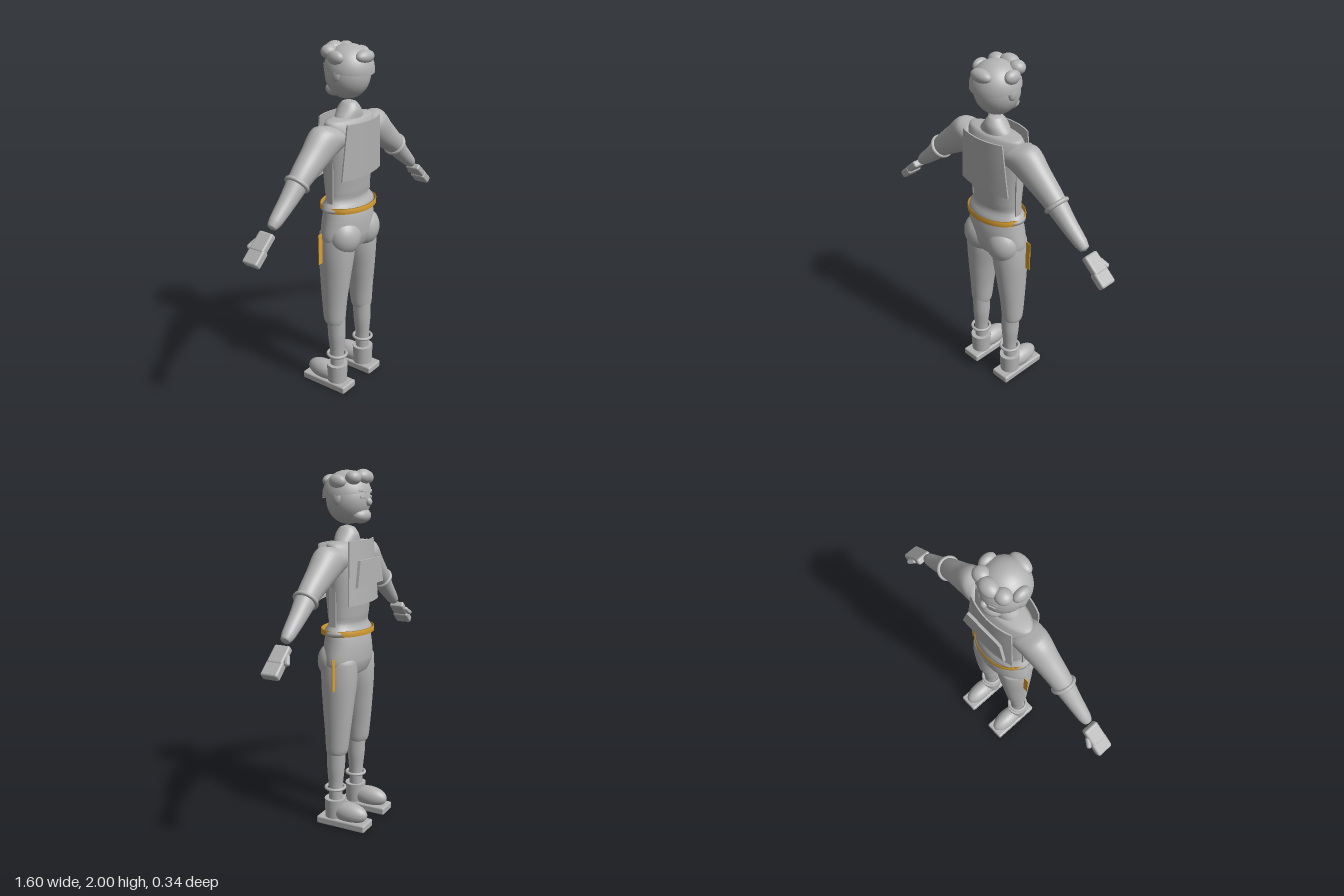
import * as THREE from 'three';
import { RoundedBoxGeometry } from 'three/addons/geometries/RoundedBoxGeometry.js';

// Closed, smooth tube of elliptical rings: each row is [x, y, z, radius along u, radius along z]
function loft(rows, u = [1, 0, 0], steps = 40, sides = 32) {
  const centre = new THREE.CatmullRomCurve3(rows.map(r => new THREE.Vector3(r[0], r[1], r[2])));
  const size = new THREE.CatmullRomCurve3(rows.map(r => new THREE.Vector3(r[3], r[4], 0)));
  const U = new THREE.Vector3(...u).normalize(), V = new THREE.Vector3(0, 0, 1);
  const pos = [], idx = [];
  for (let i = 0; i <= steps; i++) {
    const p = centre.getPoint(i / steps), r = size.getPoint(i / steps);
    for (let j = 0; j < sides; j++) {
      const a = j / sides * Math.PI * 2;
      const q = p.clone().addScaledVector(U, Math.cos(a) * Math.max(r.x, 0.001))
        .addScaledVector(V, Math.sin(a) * Math.max(r.y, 0.001));
      pos.push(q.x, q.y, q.z);
    }
  }
  const t = centre.getPoint(1).sub(centre.getPoint(0));
  const outward = V.clone().cross(t).dot(U) > 0;
  for (let i = 0; i < steps; i++) for (let j = 0; j < sides; j++) {
    const a = i * sides + j, b = i * sides + (j + 1) % sides, c = a + sides, d = b + sides;
    if (outward) idx.push(a, b, c, b, d, c); else idx.push(a, c, b, b, c, d);
  }
  const g = new THREE.BufferGeometry();
  g.setAttribute('position', new THREE.Float32BufferAttribute(pos, 3));
  g.setIndex(idx);
  g.computeVertexNormals();
  return g;
}

// Trapezoid plate, bent away at its sides and leaning between two depths
function plate(topHalf, botHalf, y0, y1, zBot, zTop, thick, bend) {
  const g = new THREE.BoxGeometry(1, 1, 1, 16, 4, 1), p = g.attributes.position;
  for (let i = 0; i < p.count; i++) {
    const v = p.getY(i) + 0.5, x = p.getX(i) * 2;
    const z = THREE.MathUtils.lerp(zBot, zTop, v);
    p.setXYZ(i, x * THREE.MathUtils.lerp(botHalf, topHalf, v), THREE.MathUtils.lerp(y0, y1, v),
      z - Math.sign(z) * bend * x * x + p.getZ(i) * thick);
  }
  g.computeVertexNormals();
  return g;
}

export function createModel() {
  const model = new THREE.Group();
  const grey = new THREE.MeshStandardMaterial({ color: 0xb3b3b3 });
  grey.name = 'grey';
  grey.side = THREE.DoubleSide;
  const gold = new THREE.MeshStandardMaterial({ color: 0xd9a030 });
  gold.name = 'gold';
  gold.side = THREE.DoubleSide;

  const add = (name, geo, x = 0, y = 0, z = 0, mat = grey) => {
    const m = new THREE.Mesh(geo, mat);
    m.name = name;
    m.position.set(x, y, z);
    model.add(m);
    return m;
  };
  const blob = (name, x, y, z, rx, ry, rz) =>
    add(name, new THREE.SphereGeometry(1, 28, 20), x, y, z).scale.set(rx, ry, rz);
  const box = (w, h, d, r = 0.01) => new RoundedBoxGeometry(w, h, d, 3, r);

  // Head and face, looking towards -z
  blob('head', 0, 1.84, 0.022, 0.122, 0.13, 0.12);
  blob('muzzle', 0, 1.757, -0.052, 0.07, 0.042, 0.052);
  blob('nose', 0, 1.83, -0.1, 0.02, 0.022, 0.018);
  const cap = add('hairCap', new THREE.SphereGeometry(1, 36, 14, 0, Math.PI * 2, 0, Math.PI / 2), 0, 1.862, 0.03);
  cap.scale.set(0.135, 0.133, 0.133);
  cap.rotation.x = 0.12;
  blob('backCurl', 0, 1.937, 0.128, 0.066, 0.035, 0.038);
  blob('frontCurl', 0, 1.96, -0.065, 0.058, 0.04, 0.045);

  // Neck and torso
  add('neck', loft([[0, 1.56, 0.03, 0.11, 0.065], [0, 1.62, 0.03, 0.095, 0.065], [0, 1.66, 0.03, 0.065, 0.062],
    [0, 1.695, 0.03, 0.035, 0.04], [0, 1.707, 0.03, 0.001, 0.001]]));
  add('torso', loft([[0, 1.1, 0.025, 0.001, 0.001], [0, 1.11, 0.025, 0.16, 0.095], [0, 1.2, 0.022, 0.16, 0.095],
    [0, 1.33, 0.022, 0.168, 0.108], [0, 1.47, 0.025, 0.182, 0.114], [0, 1.56, 0.028, 0.19, 0.1],
    [0, 1.615, 0.03, 0.18, 0.072], [0, 1.632, 0.03, 0.001, 0.001]]));

  // Vest plates and chest panel
  add('backVestPlate', plate(0.145, 0.175, 1.31, 1.61, 0.142, 0.155, 0.008, 0.03));
  add('frontVestPlate', plate(0.145, 0.175, 1.29, 1.63, -0.1, -0.085, 0.008, 0.03));
  add('chestPanel', plate(0.12, 0.155, 1.39, 1.53, -0.108, -0.105, 0.016, 0));

  // Hips and belt
  add('hips', loft([[0, 1.145, 0.025, 0.001, 0.001], [0, 1.135, 0.025, 0.163, 0.1], [0, 1.06, 0.025, 0.182, 0.118],
    [0, 0.97, 0.025, 0.198, 0.118], [0, 0.9, 0.025, 0.17, 0.095], [0, 0.86, 0.025, 0.001, 0.001]]));
  const belt = new THREE.LatheGeometry([[0.96, -0.016], [1, -0.014], [1, 0.014], [0.96, 0.016], [0.96, -0.016]]
    .map(([r, y]) => new THREE.Vector2(r, y)), 48);
  add('belt', belt, 0, 1.133, 0.027, gold).scale.set(0.184, 1, 0.137);

  for (const s of [1, -1]) {
    const side = s > 0 ? 'left' : 'right';

    // Face and hair details
    blob(side + 'Ear', s * 0.12, 1.853, 0.032, 0.016, 0.038, 0.026);
    blob(side + 'SideCurl', s * 0.113, 1.935, 0.027, 0.03, 0.036, 0.048);
    blob(side + 'FrontCurl', s * 0.073, 1.955, -0.045, 0.045, 0.037, 0.042);
    const eye = add(side + 'Eye', box(0.035, 0.014, 0.008, 0.003), s * 0.045, 1.855, -0.089);
    const brow = add(side + 'Brow', box(0.05, 0.01, 0.014, 0.003), s * 0.047, 1.886, -0.085);
    eye.rotation.y = brow.rotation.y = -s * 0.35;
    brow.rotation.z = s * 0.15;

    // Arm with elbow ring
    const across = [s * 0.62, 0.78, 0];
    add(side + 'Arm', loft([[s * 0.09, 1.55, 0.03, 0.001, 0.001], [s * 0.13, 1.535, 0.03, 0.085, 0.085],
      [s * 0.2, 1.53, 0.03, 0.098, 0.085], [s * 0.31, 1.455, 0.032, 0.08, 0.07],
      [s * 0.42, 1.375, 0.034, 0.062, 0.058], [s * 0.52, 1.285, 0.034, 0.047, 0.045],
      [s * 0.61, 1.212, 0.034, 0.035, 0.035], [s * 0.638, 1.19, 0.034, 0.024, 0.024],
      [s * 0.645, 1.185, 0.034, 0.001, 0.001]], across));
    const elbow = add(side + 'ElbowRing', new THREE.TorusGeometry(0.058, 0.012, 12, 36), s * 0.44, 1.358, 0.034);
    elbow.rotation.set(0, Math.PI / 2, 0);
    elbow.rotation.order = 'ZYX';
    elbow.rotation.z = -s * 0.7;

    // Hand
    const hand = new THREE.Group();
    hand.name = side + 'Hand';
    hand.position.set(s * 0.7, 1.13, 0.028);
    hand.rotation.z = -s * 0.72;
    for (const [name, w, h, d, x, y, z] of [['palm', 0.11, 0.04, 0.09, 0, 0, 0],
      ['fingers', 0.09, 0.046, 0.096, 0.082, -0.006, 0], ['thumb', 0.065, 0.026, 0.028, 0.02, 0, -0.052]]) {
      const part = new THREE.Mesh(box(w, h, d, 0.012), grey);
      part.name = name;
      part.position.set(s * x, y, z);
      if (name === 'thumb') part.rotation.y = s * 0.4;
      hand.add(part);
    }
    model.add(hand);

    // Side strap and hip plate
    add(side + 'SideStrap', new THREE.BoxGeometry(0.008, 0.26, 0.04), s * 0.168, 1.3, 0.03);
    add(side + 'HipPlate', new THREE.BoxGeometry(0.03, 0.175, 0.005), s * 0.22, 0.913, 0, gold);

    // Seat and legs
    blob(side + 'Seat', s * 0.09, 0.965, 0.065, 0.1, 0.108, 0.09);
    add(side + 'Thigh', loft([[s * 0.1, 1.02, 0.025, 0.001, 0.001], [s * 0.105, 0.98, 0.025, 0.085, 0.1],
      [s * 0.105, 0.88, 0.025, 0.096, 0.103], [s * 0.118, 0.72, 0.025, 0.08, 0.09],
      [s * 0.127, 0.57, 0.025, 0.067, 0.074], [s * 0.13, 0.46, 0.028, 0.061, 0.063],
      [s * 0.13, 0.437, 0.03, 0.055, 0.056], [s * 0.13, 0.43, 0.03, 0.001, 0.001]]));
    add(side + 'Shin', loft([[s * 0.125, 0.46, 0.035, 0.05, 0.055], [s * 0.125, 0.36, 0.038, 0.05, 0.052],
      [s * 0.126, 0.25, 0.04, 0.041, 0.042], [s * 0.127, 0.13, 0.04, 0.038, 0.038]]));
    add(side + 'AnkleRing', new THREE.TorusGeometry(0.054, 0.009, 12, 36), s * 0.127, 0.225, 0.042)
      .rotation.x = Math.PI / 2;

    // Shoe
    add(side + 'ShoeCuff', new THREE.CylinderGeometry(0.061, 0.057, 0.11, 32), s * 0.128, 0.105, 0.043);
    blob(side + 'ShoeToe', s * 0.13, 0.085, -0.05, 0.056, 0.06, 0.112);
    add(side + 'Sole', box(0.118, 0.044, 0.305, 0.01), s * 0.13, 0.027, -0.018);
  }
  return model;
}
